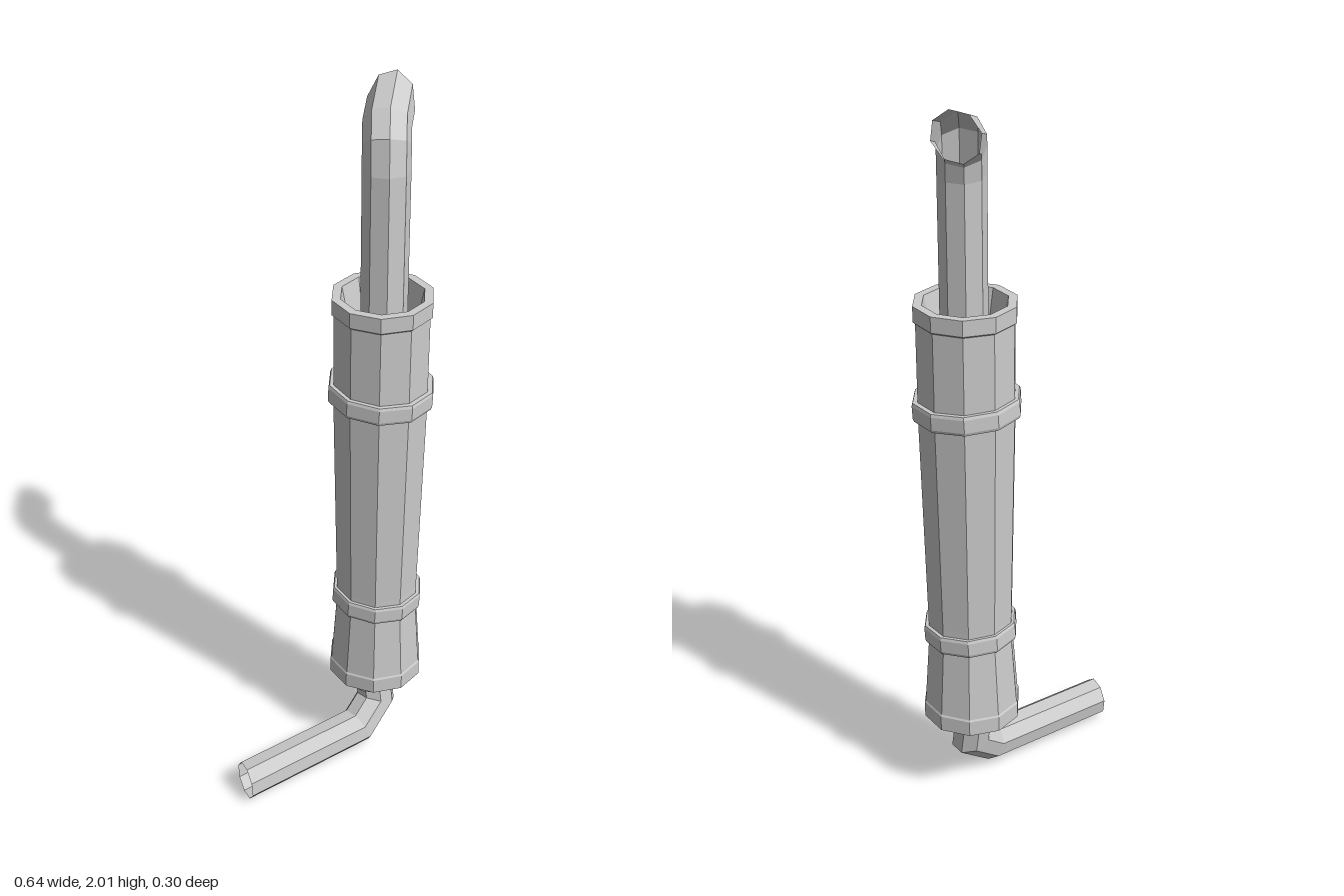
import * as THREE from 'three';

const AXIS_X = 0.177;
const material = new THREE.MeshStandardMaterial({
  color: 0xcccccc, flatShading: true, side: THREE.DoubleSide,
});

function addMesh(group, name, geometry) {
  const mesh = new THREE.Mesh(geometry, material);
  mesh.name = name;
  group.add(mesh);
  return mesh;
}

// Turned part from [radius, height] pairs
function turned(profile, sides = 10) {
  return new THREE.LatheGeometry(profile.map(([r, y]) => new THREE.Vector2(r, y)), sides);
}

// Open faceted pipe: one ring per path point, mitred at each bend.
// startNormal / endNormal set the angle of the cut ends.
function mitredPipe(path, radius, { sides = 8, phase = 0, startNormal, endNormal } = {}) {
  const pts = path.map((p) => new THREE.Vector3(...p));
  const last = pts.length - 1;
  const dirs = pts.slice(1).map((p, i) => p.clone().sub(pts[i]).normalize());
  const normals = pts.map((_, i) => {
    if (i === 0) return startNormal ? new THREE.Vector3(...startNormal) : dirs[0];
    if (i === last) return endNormal ? new THREE.Vector3(...endNormal) : dirs[last - 1];
    return dirs[i - 1].clone().add(dirs[i]);
  });

  // Slide a point along a direction until it meets the plane of ring i
  const slide = (point, dir, i) => {
    const t = pts[i].clone().sub(point).dot(normals[i]) / dir.dot(normals[i]);
    return point.clone().addScaledVector(dir, t);
  };

  const ref = Math.abs(dirs[0].y) > 0.8 ? new THREE.Vector3(0, 0, 1) : new THREE.Vector3(0, 1, 0);
  const u = ref.clone().addScaledVector(dirs[0], -ref.dot(dirs[0])).normalize();
  const v = dirs[0].clone().cross(u);
  let ring = [];
  for (let k = 0; k < sides; k++) {
    const a = phase + (k / sides) * Math.PI * 2;
    const p = pts[0].clone().addScaledVector(u, radius * Math.cos(a)).addScaledVector(v, radius * Math.sin(a));
    ring.push(slide(p, dirs[0], 0));
  }

  const positions = [];
  const index = [];
  for (let i = 0; i <= last; i++) {
    if (i > 0) ring = ring.map((p) => slide(p, dirs[i - 1], i));
    ring.forEach((p) => positions.push(p.x, p.y, p.z));
    if (i === last) break;
    for (let k = 0; k < sides; k++) {
      const a = i * sides + k;
      const b = i * sides + ((k + 1) % sides);
      index.push(a, b, b + sides, a, b + sides, a + sides);
    }
  }
  const geometry = new THREE.BufferGeometry();
  geometry.setAttribute('position', new THREE.Float32BufferAttribute(positions, 3));
  geometry.setIndex(index);
  geometry.computeVertexNormals();
  return geometry;
}

export function createModel() {
  const group = new THREE.Group();
  group.name = 'exhaustStack';

  // Muffler shell with end collars and a recessed top
  addMesh(group, 'mufflerBody', turned([
    [0, 0.24], [0.137, 0.24], [0.137, 0.285], [0.134, 0.29],
    [0.119, 0.5], [0.119, 0.56], [0.131, 1.16], [0.131, 1.43],
    [0.137, 1.435], [0.137, 1.478], [0.113, 1.478], [0.093, 1.38], [0, 1.38],
  ])).position.x = AXIS_X;

  // Slightly tilted clamp bands
  const clamps = [
    { name: 'lowerClamp', y: 0.517, outer: 0.131, inner: 0.112 },
    { name: 'upperClamp', y: 1.193, outer: 0.146, inner: 0.122 },
  ];
  for (const { name, y, outer, inner } of clamps) {
    const clamp = addMesh(group, name, turned([
      [inner, -0.026], [outer - 0.003, -0.026], [outer, -0.018],
      [outer, 0.018], [outer - 0.003, 0.026], [inner, 0.026],
    ]));
    clamp.position.set(AXIS_X, y, 0);
    clamp.rotation.set(0.035, 0, -0.035);
  }

  // Neck under the muffler
  addMesh(group, 'inletNeck', turned([[0, 0.198], [0.082, 0.198], [0.082, 0.242]], 8))
    .position.x = 0.163;

  // Inlet pipe, bending out to the side
  addMesh(group, 'inletPipe', mitredPipe([
    [-0.308, 0.054, 0.054], [0.09, 0.064, 0.04], [0.17, 0.128, 0.018], [0.167, 0.22, 0.004],
  ], 0.055, { phase: 0.25, startNormal: [0.99, 0, 0.137] }));

  // Outlet pipe with curved, slant-cut tip
  addMesh(group, 'outletPipe', mitredPipe([
    [0.18, 1.38, 0.003], [0.187, 1.81, -0.01], [0.195, 1.88, -0.023],
    [0.217, 1.915, -0.055], [0.267, 1.938, -0.112],
  ], 0.062, { phase: 0.3, endNormal: [0.57, -0.42, -0.69] }));

  return group;
}
